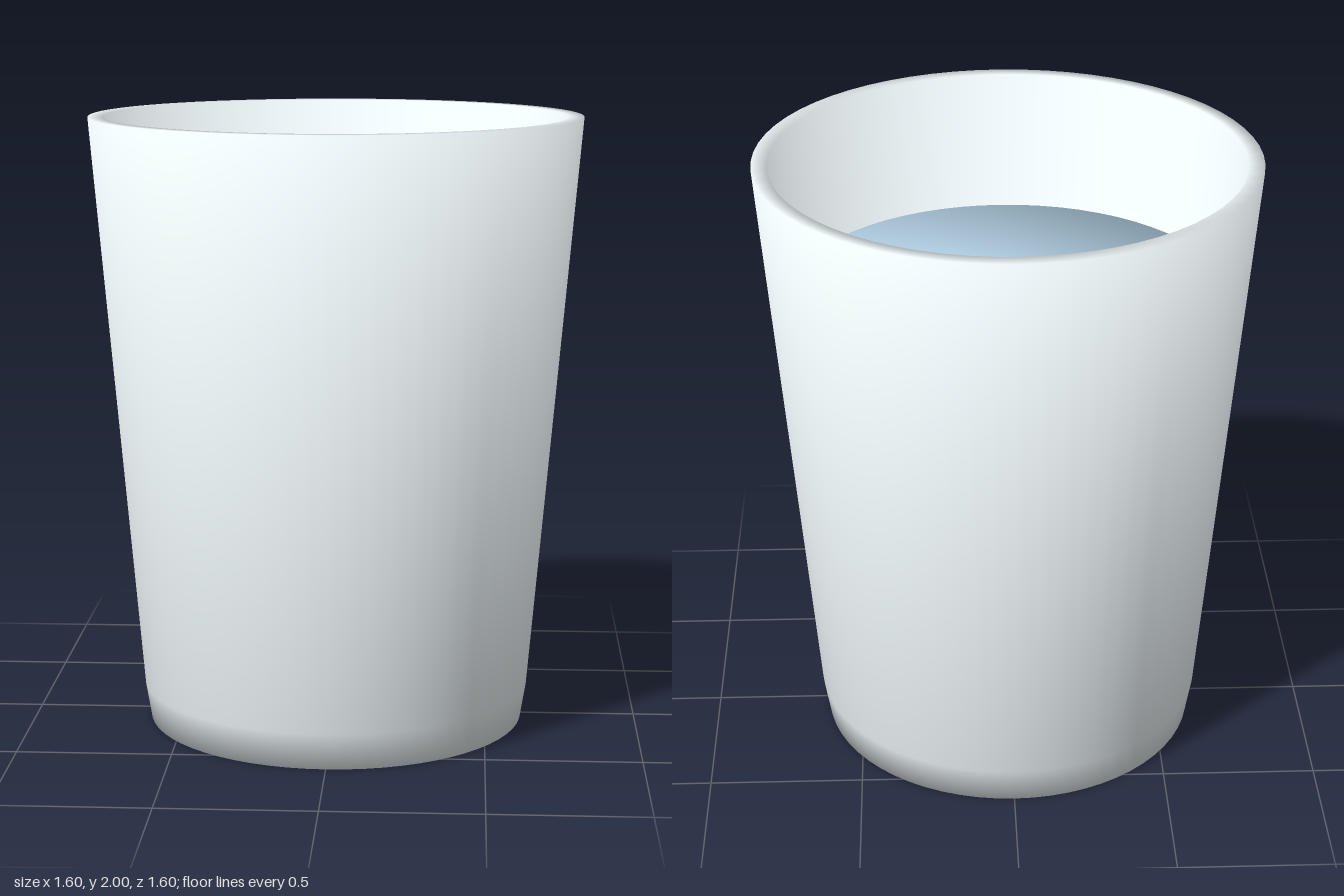
import * as THREE from 'three';

const SEGMENTS = 64;
const LIQUID_Y = 1.54;

// Revolved profile whose normals average neighbouring segments evenly,
// so corners shade softly whatever the segment lengths
function softLathe(profile) {
  const points = profile.map(([r, y]) => new THREE.Vector2(r, y));
  const facing = points.slice(1).map((p, i) =>
    new THREE.Vector2(p.y - points[i].y, points[i].x - p.x).normalize());
  const soft = points.map((_, j) => {
    const before = facing[Math.max(j - 1, 0)];
    const after = facing[Math.min(j, facing.length - 1)];
    return before.clone().add(after).normalize();
  });

  const geometry = new THREE.LatheGeometry(points, SEGMENTS);
  const normal = geometry.attributes.normal;
  for (let i = 0; i <= SEGMENTS; i++) {
    const angle = (i / SEGMENTS) * Math.PI * 2;
    soft.forEach((n, j) => normal.setXYZ(
      i * points.length + j, n.x * Math.sin(angle), n.y, n.x * Math.cos(angle)));
  }
  return geometry;
}

function part(name, geometry, color, side = THREE.FrontSide) {
  const mesh = new THREE.Mesh(geometry, new THREE.MeshStandardMaterial({ color, side }));
  mesh.name = name;
  return mesh;
}

// Teardrop outline: one half from blunt end to tip, then mirrored
function leafGeometry() {
  const half = [
    [-0.34, 0], [-0.33, 0.06], [-0.295, 0.115], [-0.24, 0.155], [-0.17, 0.178], [-0.09, 0.185],
    [0, 0.178], [0.09, 0.14], [0.2, 0.085], [0.3, 0.03], [0.33, 0.013], [0.34, 0],
  ];
  const mirrored = half.slice(1, -1).reverse().map(([x, z]) => [x, -z]);
  const shape = new THREE.Shape([...half, ...mirrored].map(([x, z]) => new THREE.Vector2(x, z)));
  return new THREE.ShapeGeometry(shape).rotateX(-Math.PI / 2);
}

export function createModel() {
  const model = new THREE.Group();
  model.name = 'cup';

  // Tapered cup: base, outer wall, rim, inner wall, inner floor
  model.add(part('cupBody', softLathe([
    [0, 0], [0.62, 0], [0.64, 0.12], [0.8, 2],
    [0.75, 2], [0.6, 0.12], [0, 0.12],
  ]), 0xebf3f6));

  // Liquid filling the inside, softly shaded towards its edge
  model.add(part('liquid', softLathe([
    [0, 0.13], [0.595, 0.13], [0.712, LIQUID_Y], [0, LIQUID_Y],
  ]), 0xc3e3f9));

  // Leaf floating on the liquid
  const leaf = part('leaf', leafGeometry(), 0x7cbc76, THREE.DoubleSide);
  leaf.position.y = LIQUID_Y + 0.01;
  model.add(leaf);

  return model;
}
